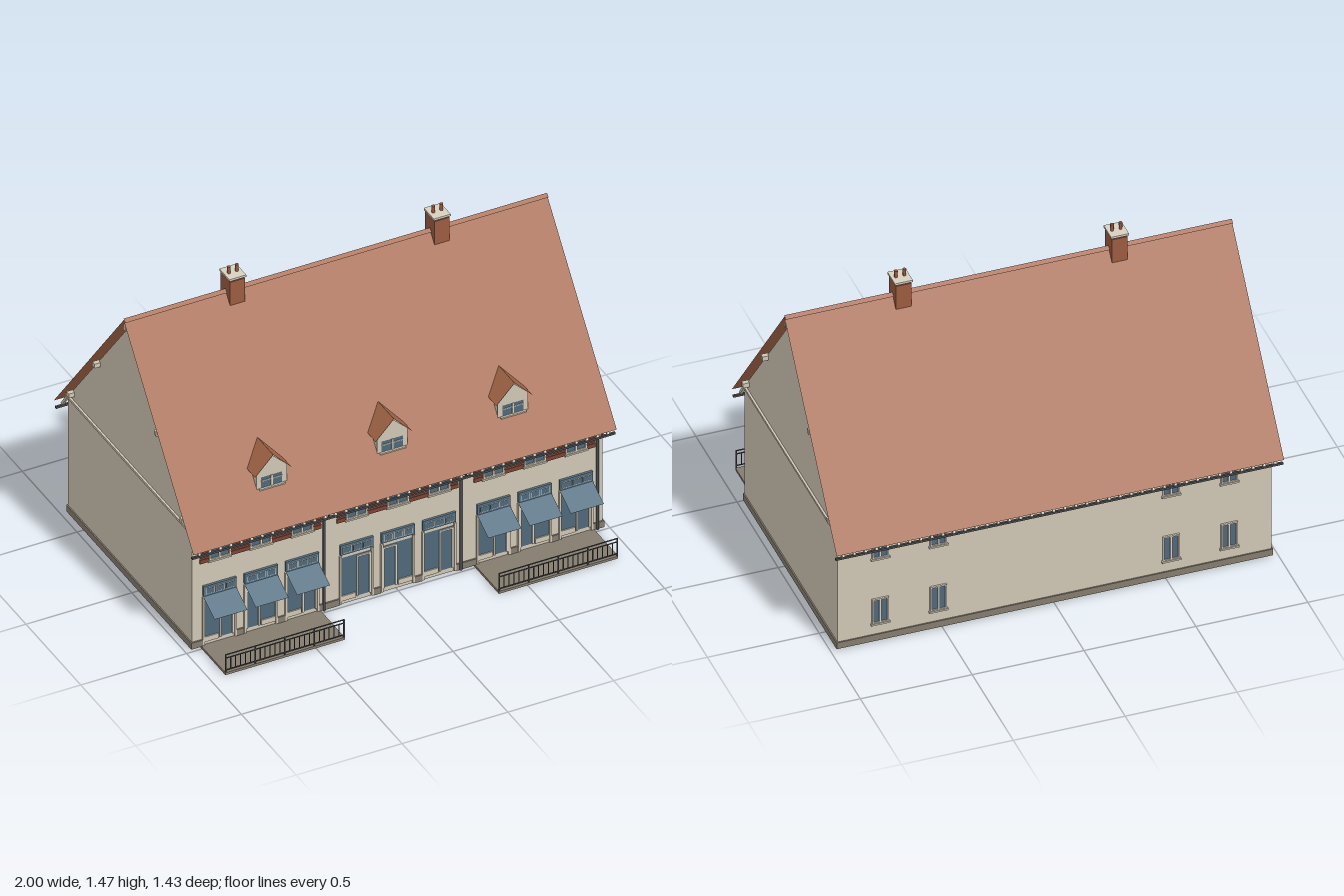
import * as THREE from 'three';

const mat = (name, color, side = THREE.FrontSide) => {
  const m = new THREE.MeshStandardMaterial({ color, side });
  m.name = name;
  return m;
};
const D = THREE.DoubleSide;

export function createModel() {
  const root = new THREE.Group();
  root.name = 'terraceHouse';
  const M = {
    wall: mat('plaster', 0xcfc6b3, D),
    roof: mat('roofTile', 0xa36546, D),
    brick: mat('redBrick', 0x7d4233),
    chimney: mat('chimneyBrick', 0x9a5b40),
    glass: mat('glass', 0x50687a, D),
    blue: mat('bluePaint', 0x587384, D),
    frame: mat('paleFrame', 0xd8d0c0),
    stone: mat('plinthStone', 0x857c6f),
    metal: mat('darkMetal', 0x4a4a4c),
  };

  // Helpers: add a mesh, a box, a flat polygon, a rectangle path
  const add = (name, geo, m, parent = root) => {
    const mesh = new THREE.Mesh(geo, m);
    mesh.name = name;
    parent.add(mesh);
    return mesh;
  };
  const box = (name, m, w, h, d, x, y, z, parent) => {
    const b = add(name, new THREE.BoxGeometry(w, h, d), m, parent);
    b.position.set(x, y, z);
    return b;
  };
  const sheet = (name, m, pts, parent) => {
    const idx = [];
    for (let i = 1; i < pts.length - 1; i++) idx.push(0, i, i + 1);
    const g = new THREE.BufferGeometry();
    g.setAttribute('position', new THREE.Float32BufferAttribute(pts.flat(), 3));
    g.setIndex(idx);
    g.computeVertexNormals();
    return add(name, g, m, parent);
  };
  const poly = (pts) => pts.map(([x, y]) => new THREE.Vector2(x, y));
  const rect = (x0, x1, y0, y1) => poly([[x0, y0], [x1, y0], [x1, y1], [x0, y1]]);
  const shape = (outline, holes) => {
    const s = new THREE.Shape(outline);
    s.holes = holes.map((h) => new THREE.Path(h));
    return new THREE.ShapeGeometry(s);
  };

  const FRONT = 0.49, BACK = -0.64, RZ = -0.075, RY = 1.35, SLOPE = 1.268;
  const roofZ = (y) => RZ + (RY - y) / SLOPE;
  const bays = [-0.647, 0, 0.647];
  const offsets = [-0.195, 0, 0.195];
  const centres = bays.flatMap((b) => offsets.map((o) => b + o));
  const dormers = [-0.57, 0, 0.57];
  const backX = [-0.78, -0.52, 0.52, 0.78];

  // Walls with window openings
  const frontHoles = centres.flatMap((c) => [
    rect(c - 0.07, c + 0.07, 0.03, 0.245),
    rect(c - 0.048, c + 0.048, 0.44, 0.57),
  ]);
  add('frontWall', shape(rect(-0.97, 0.97, 0.01, 0.6), frontHoles), M.wall).position.z = FRONT;
  const backHoles = backX.flatMap((c) => [0.1, 0.435].map((y) => rect(c - 0.036, c + 0.036, y, y + 0.125)));
  const back = add('backWall', shape(rect(-0.97, 0.97, 0.01, 0.6), backHoles), M.wall);
  back.position.z = BACK;
  back.rotation.y = Math.PI;
  for (const s of [-1, 1]) {
    sheet('gableWall', M.wall, [[FRONT, 0.01], [FRONT, 0.6], [RZ, 1.31], [BACK, 0.6], [BACK, 0.01]]
      .map(([z, y]) => [s * 0.97, y, z]));
    box('gableBand', M.wall, 0.012, 0.012, 1.15, s * 0.974, 0.605, RZ);
    box('sidePlinth', M.stone, 0.008, 0.032, 1.138, s * 0.972, 0.026, RZ);
    // Purlin ends carrying the roof overhang
    for (const [z, y] of [[RZ, 1.308], [0.207, 0.945], [-0.355, 0.945], [0.443, 0.645], [-0.591, 0.645]])
      box('purlinEnd', M.wall, 0.035, 0.022, 0.022, s * 0.98, y, z);
  }
  box('backPlinth', M.stone, 1.95, 0.032, 0.008, 0, 0.026, BACK - 0.002);

  // Roof slopes, the front one open behind each dormer
  const slope = (name, holes, turn) => {
    const g = shape(rect(-1, 1, 0.542, RY), holes);
    const p = g.attributes.position;
    for (let i = 0; i < p.count; i++) p.setZ(i, (RY - p.getY(i)) / SLOPE);
    g.computeVertexNormals();
    const m = add(name, g, M.roof);
    m.position.z = RZ;
    m.rotation.y = turn;
  };
  slope('frontRoof', dormers.map((x) => poly(
    [[x - 0.068, 0.695], [x + 0.068, 0.695], [x + 0.068, 0.775], [x, 0.842], [x - 0.068, 0.775]])), 0);
  slope('backRoof', [], Math.PI);
  for (const s of [-1, 1])
    sheet('ridgeCap', M.roof, [[-1, 1.358, RZ], [-1, 1.345, RZ + s * 0.016], [1, 1.345, RZ + s * 0.016], [1, 1.358, RZ]]);

  // Eaves: rafter tails and gutters
  for (const s of [-1, 1]) {
    for (let i = 0; i < 40; i++) {
      const r = box('rafterTail', M.wall, 0.012, 0.012, 0.1, -0.965 + i * 1.93 / 39, 0.562, RZ + s * 0.597);
      r.rotation.x = s * 0.95;
    }
    box('gutter', M.metal, 2, 0.01, 0.01, 0, 0.516, RZ + s * 0.622);
  }
  for (const x of [-0.35, 0.297, 0.942]) {
    const p = add('downpipe', new THREE.CylinderGeometry(0.006, 0.006, 0.55, 8), M.metal);
    p.position.set(x, 0.285, 0.499);
    const e = add('downpipeElbow', new THREE.CylinderGeometry(0.005, 0.005, 0.06, 8), M.metal);
    e.position.set(x, 0.54, 0.52);
    e.rotation.x = -1;
  }

  // Dormers
  for (const x of dormers) {
    const g = new THREE.Group();
    g.name = 'dormer';
    g.position.x = x;
    root.add(g);
    add('dormerFront', shape(
      poly([[-0.072, 0.685], [0.072, 0.685], [0.072, 0.777], [0, 0.845], [-0.072, 0.777]]),
      [rect(-0.05, 0.05, 0.692, 0.745)]), M.wall, g).position.z = 0.445;
    box('dormerGlass', M.glass, 0.1, 0.053, 0.004, 0, 0.7185, 0.443, g);
    box('dormerMullion', M.frame, 0.008, 0.053, 0.006, 0, 0.7185, 0.446, g);
    box('dormerTransom', M.frame, 0.1, 0.004, 0.006, 0, 0.727, 0.446, g);
    box('dormerSill', M.wall, 0.12, 0.006, 0.012, 0, 0.688, 0.449, g);
    for (const s of [-1, 1]) {
      sheet('dormerCheek', M.wall, [[s * 0.07, 0.69, 0.445], [s * 0.07, 0.778, 0.445], [s * 0.07, 0.778, roofZ(0.778)]], g);
      sheet('dormerRoof', M.roof, [[0, 0.855, 0.46], [s * 0.086, 0.765, 0.46],
        [s * 0.086, 0.765, roofZ(0.765)], [0, 0.855, roofZ(0.855)]], g);
    }
  }

  // Chimneys
  for (const x of [-0.484, 0.482]) {
    box('chimneyStack', M.chimney, 0.07, 0.13, 0.085, x, 1.35, RZ);
    box('chimneyNeck', M.chimney, 0.06, 0.012, 0.076, x, 1.418, RZ);
    box('chimneyCap', M.frame, 0.08, 0.01, 0.092, x, 1.427, RZ);
    for (const s of [-1, 1])
      add('chimneyPot', new THREE.CylinderGeometry(0.008, 0.007, 0.034, 10), M.chimney)
        .position.set(x + s * 0.019, 1.448, RZ);
  }

  // Upper front storey: windows between banded brick panels
  for (const b of bays) {
    for (const [x, w] of [[-0.265, 0.044], [-0.0975, 0.095], [0.0975, 0.095], [0.265, 0.044]])
      for (const [y, h] of [[0.443, 0.02], [0.484, 0.046], [0.543, 0.056]])
        box('brickPanel', M.brick, w, h, 0.008, b + x, y, FRONT + 0.003);
  }
  const sash = (name, x, y0, w, h, z, out, bars) => {
    const y = y0 + h / 2;
    box(name + 'Glass', M.glass, w, h, 0.004, x, y, z);
    for (const s of [-1, 1]) {
      box(name + 'Jamb', M.frame, 0.007, h, 0.009, x + s * (w / 2 - 0.003), y, z + out * 0.003);
      box(name + 'Rail', M.frame, w, 0.007, 0.009, x, y + s * (h / 2 - 0.003), z + out * 0.003);
    }
    box(name + 'Mullion', M.frame, 0.009, h, 0.008, x, y, z + out * 0.003);
    for (const f of bars) box(name + 'Bar', M.frame, w, 0.005, 0.008, x, y0 + h * f, z + out * 0.003);
  };
  for (const c of centres) {
    sash('upperWindow', c, 0.44, 0.1, 0.13, FRONT + 0.003, 1, [0.27, 0.62]);
    box('upperSill', M.wall, 0.11, 0.008, 0.016, c, 0.436, FRONT + 0.006);
  }

  // Shopfronts: glazing, door and transom light
  centres.forEach((c, i) => {
    const side = i % 3 === 1 ? -1 : 1;
    box('shopGlass', M.glass, 0.14, 0.215, 0.004, c, 0.1375, FRONT - 0.002);
    const dx = c + side * 0.036;
    for (const s of [-1, 1]) {
      box('doorStile', M.frame, 0.008, 0.205, 0.008, dx + s * 0.03, 0.1325, FRONT + 0.002);
      box('shopPilaster', M.wall, 0.01, 0.245, 0.014, c + s * 0.075, 0.1375, FRONT + 0.003);
    }
    box('doorHead', M.frame, 0.066, 0.008, 0.008, dx, 0.234, FRONT + 0.002);
    box('stallRiser', M.wall, 0.066, 0.025, 0.008, c - side * 0.036, 0.04, FRONT + 0.002);
    box('transomPanel', M.blue, 0.156, 0.05, 0.012, c, 0.291, FRONT + 0.005);
    for (const o of [-0.047, 0, 0.047]) {
      box('transomBorder', M.frame, 0.042, 0.03, 0.002, c + o, 0.29, FRONT + 0.0115);
      box('transomPane', M.glass, 0.038, 0.026, 0.003, c + o, 0.29, FRONT + 0.012);
    }
    // Sloping awnings on the two outer shops
    if (Math.abs(c) > 0.35) {
      const a = add('awning', new THREE.PlaneGeometry(0.156, 0.1185), M.blue);
      a.position.set(c, 0.2375, 0.5475);
      a.rotation.x = Math.atan2(-0.105, 0.055);
    }
  });
  // Plinth pieces between the shopfronts
  const edges = [-0.975, ...centres.flatMap((c) => [c - 0.08, c + 0.08]), 0.975];
  for (let i = 0; i < edges.length; i += 2)
    box('frontPlinth', M.stone, edges[i + 1] - edges[i], 0.032, 0.008, (edges[i] + edges[i + 1]) / 2, 0.026, FRONT + 0.003);

  // Rear windows
  for (const x of backX)
    for (const y of [0.1, 0.435]) {
      sash('rearWindow', x, y, 0.074, 0.125, BACK - 0.001, -1, []);
      box('rearSill', M.wall, 0.085, 0.008, 0.014, x, y - 0.003, BACK - 0.005);
    }

  // Terraces with front railings
  for (const s of [-1, 1]) {
    const cx = s * 0.646, w = 0.564;
    box('terrace', M.stone, w, 0.012, 0.225, cx, 0.006, 0.6025);
    for (const y of [0.102, 0.085, 0.025]) box('railing', M.metal, w, 0.004, 0.004, cx, y, 0.713);
    for (let i = 0; i <= 24; i++) {
      const post = i % 6 === 0;
      box(post ? 'railingPost' : 'baluster', M.metal, post ? 0.006 : 0.003, post ? 0.092 : 0.06, 0.004,
        cx - w / 2 + 0.003 + i * (w - 0.006) / 24, post ? 0.058 : 0.055, 0.713);
    }
  }
  return root;
}
